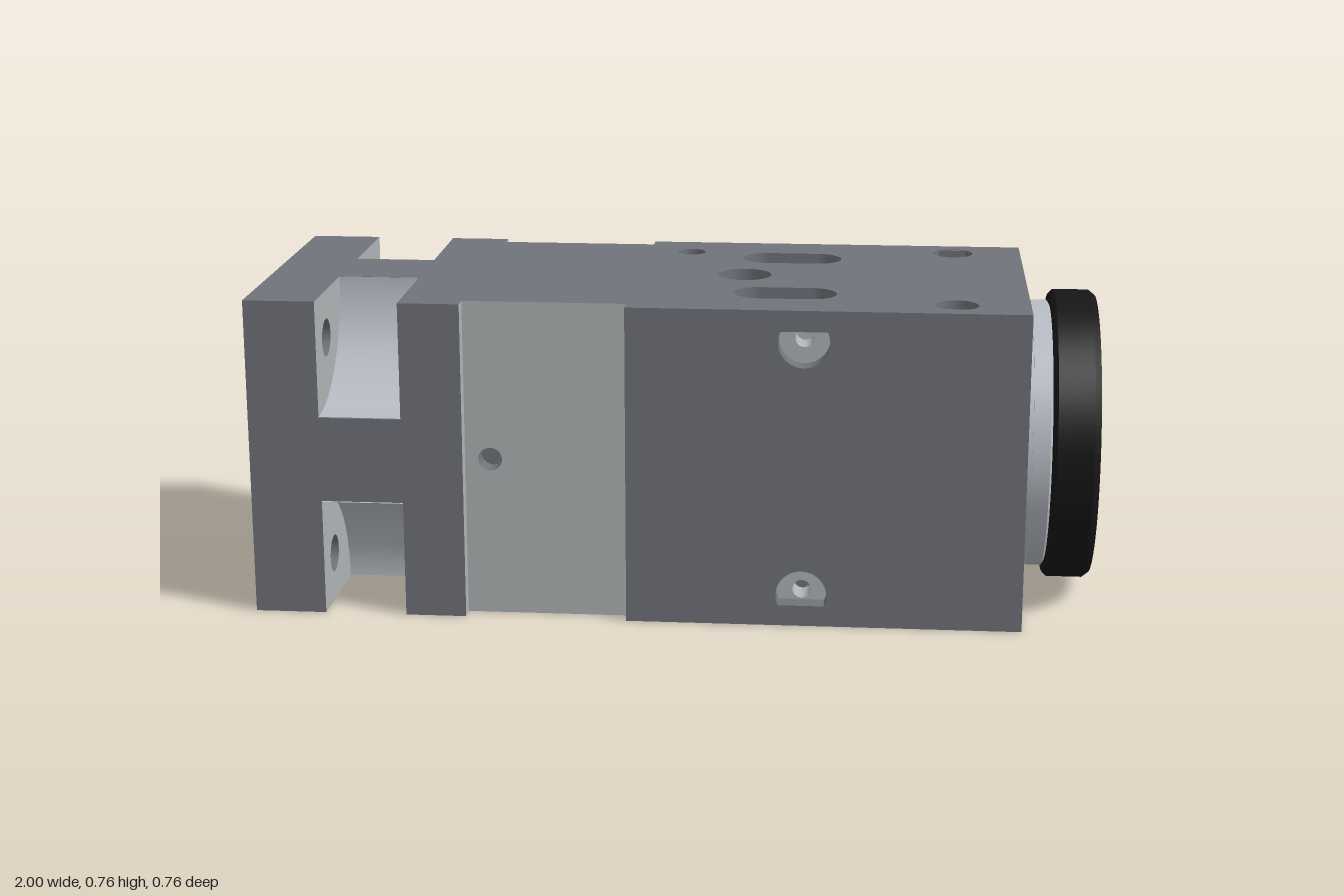
import * as THREE from 'three';
import { toCreasedNormals } from 'three/addons/utils/BufferGeometryUtils.js';

const H = 0.3825;   // half height and half depth of the block
const R = 0.24;     // main bore
const T = 0.05;     // panel thickness
const mat = (color) => new THREE.MeshStandardMaterial({ color, side: THREE.DoubleSide });

// Turn geometry built facing +z towards another side
const TURN = {
  '+z': (g) => g,
  '-z': (g) => g.rotateY(Math.PI),
  '+x': (g) => g.rotateY(Math.PI / 2),
  '-x': (g) => g.rotateY(-Math.PI / 2),
  '+y': (g) => g.rotateX(-Math.PI / 2),
  '-y': (g) => g.rotateX(Math.PI / 2),
};

function circlePath(u, v, r) {
  return new THREE.Path().absarc(u, v, r, 0, Math.PI * 2, false);
}

function slotPath(v) {
  const p = new THREE.Path();
  p.absarc(0.32, v, 0.06, -Math.PI / 2, Math.PI / 2, false);
  p.absarc(0.195, v, 0.06, Math.PI / 2, Math.PI * 1.5, false);
  return p.closePath();
}

function rect(u0, v0, u1, v1) {
  return new THREE.Shape([[u0, v0], [u1, v0], [u1, v1], [u0, v1]].map(([x, y]) => new THREE.Vector2(x, y)));
}

export function createModel() {
  const model = new THREE.Group();
  const block = new THREE.Group();
  block.name = 'block';
  block.position.y = H;
  model.add(block);

  const dark = mat(0x70737a), light = mat(0xb0b4b6), bright = mat(0xb8bcc4), black = mat(0x161616);

  const add = (name, geometry, material) => {
    const mesh = new THREE.Mesh(geometry, material);
    mesh.name = name;
    block.add(mesh);
    return mesh;
  };
  // Plate facing dir, with its outer face at distance out; holes are [u, v, r] or paths
  const plate = (name, dir, shape, holes, out, depth, material = dark) => {
    shape.holes = holes.map((h) => (Array.isArray(h) ? circlePath(...h) : h));
    const g = new THREE.ExtrudeGeometry(shape, { depth, bevelEnabled: false, curveSegments: 32 });
    g.translate(0, 0, out - depth);
    return add(name, TURN[dir](g), material);
  };
  const ring = (name, dir, u, v, inner, outer, at, material) =>
    add(name, TURN[dir](new THREE.RingGeometry(inner, outer, 32).translate(u, v, at)), material);
  // Open tube running along dir from distance a to b
  const tube = (name, dir, u, v, r, a, b, material, start = 0, sweep = Math.PI * 2) => {
    const g = new THREE.CylinderGeometry(r, r, b - a, 64, 1, true, start, sweep);
    g.rotateX(Math.PI / 2).translate(u, v, (a + b) / 2);
    return add(name, TURN[dir](g), material);
  };
  const corners = (d, r) => [[d, d, r], [-d, d, r], [-d, -d, r], [d, -d, r]];
  const square = () => rect(-H, -H, H, H);

  // Mounting flange with counterbore, bolt holes and small pin holes
  plate('flangeFace', '+x', square(),
    [[0, 0, 0.275], ...corners(0.27, 0.045), [0.32, 0.09, 0.03], [-0.08, 0.335, 0.02], [-0.31, 0.05, 0.012]],
    -0.97, 0.03);
  plate('flange', '+x', square(), [[0, 0, R], ...corners(0.27, 0.045)], -0.83, 0.14, [light, dark]);

  // Neck with a concave quarter-round pocket at each corner
  const neck = new THREE.Shape();
  const pocket = 0.28;
  corners(H).forEach(([u, v], k) => {
    const a = (k * Math.PI) / 2;
    neck.absarc(u, v, pocket, a - Math.PI / 2, a - Math.PI, true);
  });
  neck.closePath();
  plate('neck', '+x', neck, [[0, 0, R]], -0.635, 0.195);
  corners(H).forEach(([u, v], k) => {
    const g = new THREE.CylinderGeometry(0.278, 0.278, 0.195, 32, 1, true, 0, Math.PI / 2);
    g.rotateX(Math.PI / 2);                       // sweep now lies in the lower right quadrant
    g.rotateZ(-Math.PI / 2 + (k * Math.PI) / 2).translate(u, v, -0.7325);
    add('pocketWall', TURN['+x'](g), bright);
  });

  // Collar and recessed waist with light side faces
  plate('collar', '+x', square(), [[0, 0, R]], -0.49, 0.145, [light, dark]);
  plate('waist', '+x', rect(-0.295, -H, 0.295, H), [[0, 0, R]], -0.105, 0.385);
  for (const [dir, s] of [['+z', 1], ['-z', -1]]) {
    const u = [-0.49 * s, -0.105 * s].sort((a, b) => a - b);
    plate('waistSide', dir, rect(u[0], -H, u[1], H), [[-0.43 * s, 0, 0.028]], 0.345, T, [light, dark]);
  }

  // Main housing: top and bottom panels with slots and screw holes
  const slots = () => [slotPath(0.2), slotPath(-0.2)];
  const topScrews = [[0, 0.26, 0.035], [0.66, 0.295, 0.05], [0.66, -0.295, 0.05]];
  const bottomScrews = [[0, -0.26, 0.025], [0.66, 0.295, 0.03], [0.66, -0.295, 0.03]];
  plate('topPanel', '+y', rect(-0.105, -H, 0.78, H), [...slots(), ...topScrews, [0.15, 0, 0.065]], H, T);
  plate('bottomPanel', '-y', rect(-0.105, -H, 0.78, H), [...slots(), ...bottomScrews], H, T);
  for (const [u, v, r] of topScrews) {
    ring('topScrew', '+y', u, v, 0, r * 0.85, H - 0.03, black);
    ring('topScrewSeat', '+y', u, v, 0, r, H - T, dark);
  }
  for (const [u, v, r] of bottomScrews) ring('bottomHoleFloor', '-y', u, v, 0, r, H - T, light);
  ring('centreScrewSeat', '+y', 0.15, 0, 0.035, 0.066, H - 0.04, light);
  tube('centreScrewWall', '+y', 0.15, 0, 0.035, H - 0.09, H - 0.04, light);
  ring('centreScrewFloor', '+y', 0.15, 0, 0, 0.036, H - 0.09, light);

  // Front and back panels with cross holes, counterbored at the front
  const v0 = H - T, cross = 0.307;
  for (const [dir, s, r] of [['+z', 1, 0.06], ['-z', -1, 0.022]]) {
    const u = [-0.105 * s, 0.78 * s].sort((a, b) => a - b);
    plate('sidePanel', dir, rect(u[0], -H + 0.001, u[1], H - 0.001),
      [[0.31 * s, cross, r], [0.31 * s, -cross, r]], H, T);
  }
  for (const v of [cross, -cross]) {
    ring('crossHoleSeat', '+z', 0.31, v, 0.022, 0.06, H - T + 0.001, light);
    for (const [a, b] of [[-v0, -0.26], [-0.14, 0.14], [0.26, v0]])
      tube('crossHole', '+z', 0.31, v, 0.022, a, b, light);
  }

  // End plate with shallow bolt recesses
  plate('endPlate', '+x', square(), [[0, 0, 0.165], ...corners(0.275, 0.035)], 0.83, T);
  for (const [u, v] of corners(0.275)) {
    ring('endBoltSeat', '+x', u, v, 0, 0.035, 0.80, light);
    ring('endBolt', '+x', u, v, 0, 0.028, 0.81, light);
  }

  // Bore lining, open at the sides where the slots cross it
  tube('boreLining', '+x', 0, 0, R - 0.001, -0.97, 0.15, bright);
  tube('boreLining', '+x', 0, 0, R - 0.001, 0.365, 0.78, bright);
  const half = Math.asin(0.14 / R);
  for (const mid of [0, Math.PI])
    tube('boreLining', '+x', 0, 0, R - 0.001, 0.15, 0.365, bright, mid - half, 2 * half);

  // Slot walls run from the panels to the bore, pierced by the cross holes
  for (const zc of [0.2, -0.2]) {
    const outline = slotPath(zc).getSpacedPoints(96), rows = 40, pos = [];
    const at = (p, j, s) => {
      const low = Math.sqrt(Math.max(0, R * R - p.y * p.y));
      return [p.x, s * (v0 + (low - v0) * (j / rows)), p.y];
    };
    for (const s of [1, -1]) for (let i = 0; i < 96; i++) for (let j = 0; j < rows; j++) {
      const [a, b] = [outline[i], outline[i + 1]];
      const q = [at(a, j, s), at(b, j, s), at(b, j + 1, s), at(a, j + 1, s)];
      const cx = (a.x + b.x) / 2, cy = Math.abs(q[0][1] + q[2][1]) / 2;
      if (Math.hypot(cx - 0.31, cy - cross) < 0.024) continue;
      pos.push(...q[0], ...q[1], ...q[2], ...q[0], ...q[2], ...q[3]);
    }
    const g = new THREE.BufferGeometry();
    g.setAttribute('position', new THREE.Float32BufferAttribute(pos, 3));
    g.computeVertexNormals();
    add('slotWall', g, light);
  }

  // Turned parts on the end: light spigot and black ring, as [radius, x]
  const turned = (name, profile, material) => {
    const g = new THREE.LatheGeometry(profile.map(([r, x]) => new THREE.Vector2(r, x)), 96);
    add(name, toCreasedNormals(g.rotateZ(-Math.PI / 2), 0.5), material);
  };
  turned('spigot', [[0.32, 0.83], [0.32, 0.845], [0.325, 0.845], [0.325, 0.885], [0.3, 0.9]], bright);
  turned('endRing', [[0.165, 0.78], [0.3, 0.89], [0.342, 0.89], [0.352, 0.9], [0.352, 0.985], [0.34, 1],
    [0.2, 1], [0.186, 0.995], [0.175, 0.985], [0.167, 0.965], [0.165, 0.94], [0.165, 0.78]], black);

  return model;
}
